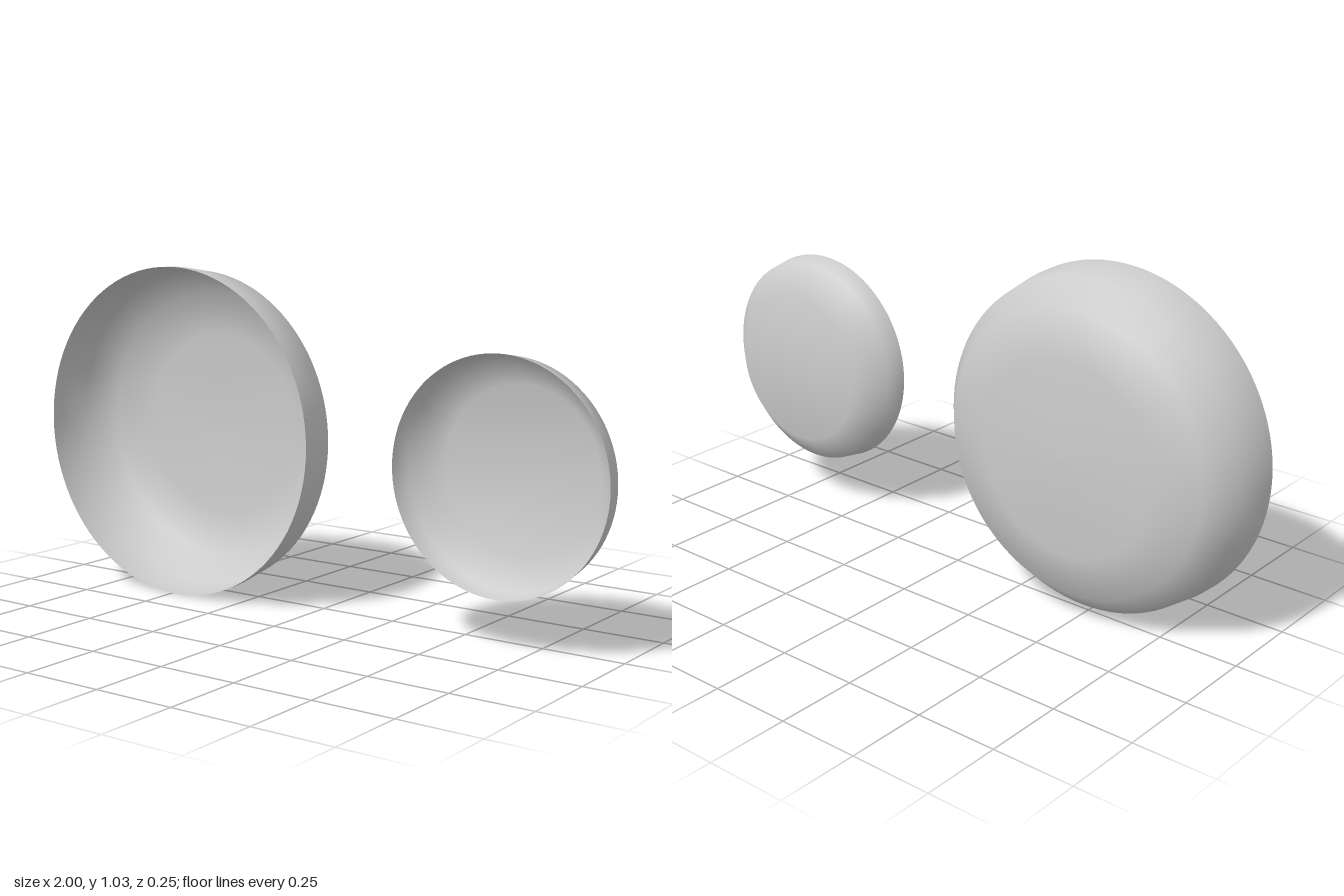
import * as THREE from 'three';

const lightGrey = new THREE.MeshStandardMaterial({ color: 0xcccccc, side: THREE.DoubleSide });
lightGrey.name = 'light grey';

// Open shallow bowl facing +z; profile is [radius, z] from the back centre to the rim
function makeDish(name, profile, x, y) {
  const points = profile.map(([r, z]) => new THREE.Vector2(r, z));
  const geometry = new THREE.LatheGeometry(points, 96);
  geometry.rotateX(Math.PI / 2);
  const dish = new THREE.Mesh(geometry, lightGrey);
  dish.name = name;
  dish.position.set(x, y, 0);
  return dish;
}

export function createModel() {
  const group = new THREE.Group();
  group.name = 'dishes';

  // Large dish with a slightly domed back
  group.add(makeDish('largeDish', [
    [0, -0.126], [0.29, -0.121], [0.428, -0.087], [0.497, -0.008], [0.512, 0.092], [0.513, 0.126],
  ], -0.487, 0.513));

  // Small dish with a flat back
  group.add(makeDish('smallDish', [
    [0, -0.024], [0.245, -0.023], [0.33, 0.05], [0.34, 0.115],
  ], 0.66, 0.49));

  return group;
}
